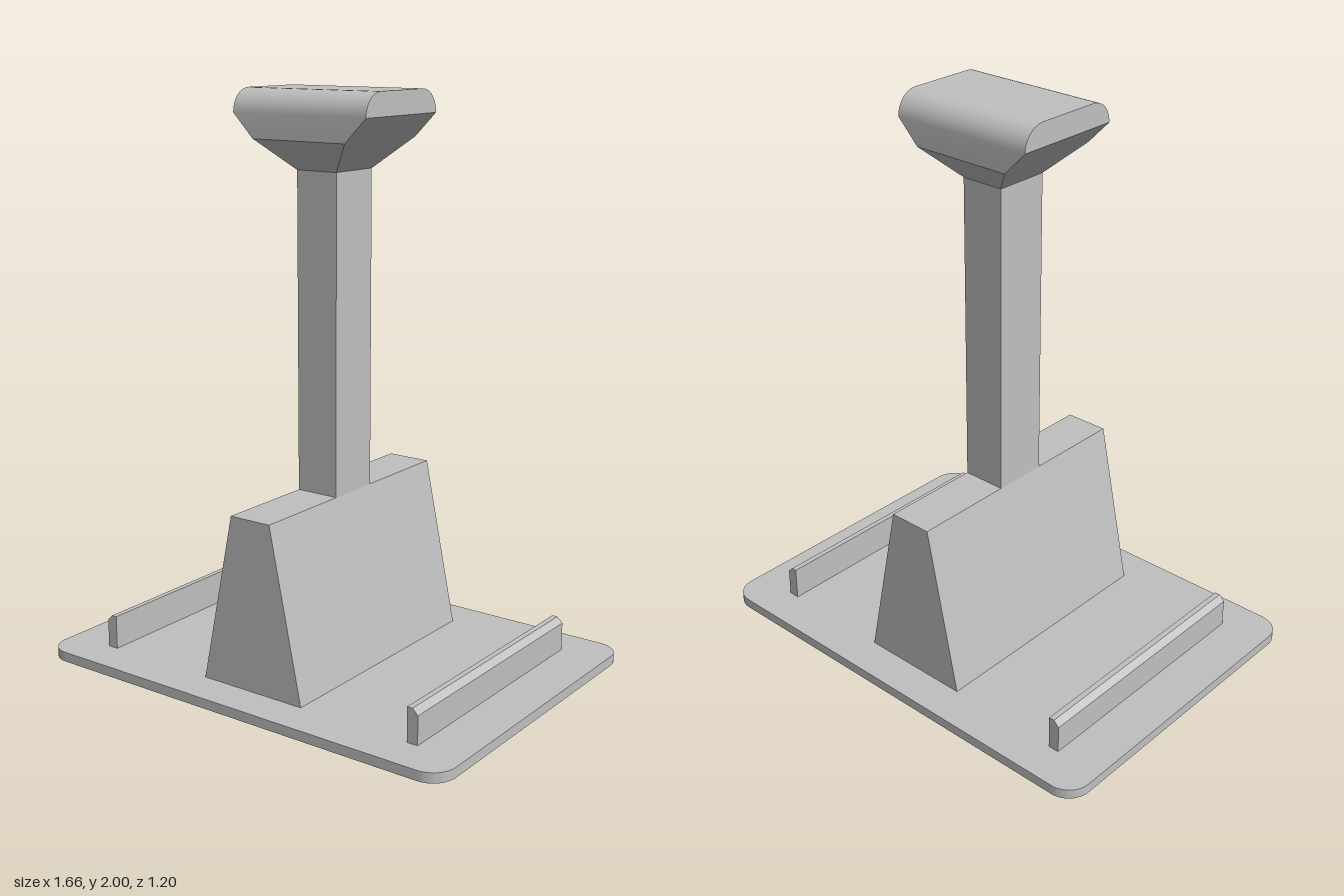
import * as THREE from 'three';
import { toCreasedNormals } from 'three/addons/utils/BufferGeometryUtils.js';

const BASE_TOP = 0.035, WEDGE_TOP = 0.635, HEAD_BOTTOM = 1.735, HEAD_SIDE = 1.92;

// Extrude an x-y outline along z, centred on z = 0
function extrudeZ(points, depth) {
  const shape = new THREE.Shape(points.map(([x, y]) => new THREE.Vector2(x, y)));
  return new THREE.ExtrudeGeometry(shape, { depth, bevelEnabled: false }).translate(0, 0, -depth / 2);
}

// Rounded rectangular plate lying on y = 0
function plateGeometry(hx, hz, r, height) {
  const s = new THREE.Shape();
  s.absarc(hx - r, hz - r, r, 0, Math.PI / 2);
  s.absarc(-hx + r, hz - r, r, Math.PI / 2, Math.PI);
  s.absarc(-hx + r, -hz + r, r, Math.PI, Math.PI * 1.5);
  s.absarc(hx - r, -hz + r, r, Math.PI * 1.5, Math.PI * 2);
  const g = new THREE.ExtrudeGeometry(s, { depth: height, bevelEnabled: false, curveSegments: 10 });
  return toCreasedNormals(g.rotateX(-Math.PI / 2), 0.5);
}

// Closed stack of rectangles [y, half width, half depth], bottom to top
function stackGeometry(levels) {
  const pos = [], idx = [];
  for (const [y, w, d] of levels) pos.push(-w, y, d, w, y, d, w, y, -d, -w, y, -d);
  for (let i = 0; i < levels.length - 1; i++) {
    for (let k = 0; k < 4; k++) {
      const a = i * 4 + k, b = i * 4 + (k + 1) % 4;
      idx.push(a, b, b + 4, a, b + 4, a + 4);
    }
  }
  const t = (levels.length - 1) * 4;
  idx.push(0, 2, 1, 0, 3, 2, t, t + 1, t + 2, t, t + 2, t + 3);
  const g = new THREE.BufferGeometry();
  g.setAttribute('position', new THREE.Float32BufferAttribute(pos, 3));
  g.setIndex(idx);
  return toCreasedNormals(g, 0.4);
}

export function createModel() {
  const model = new THREE.Group();
  model.name = 'headsetStand';
  const grey = new THREE.MeshStandardMaterial({ color: 0xc0c0c0 });
  grey.name = 'plainGrey';
  const add = (name, geometry) => {
    const mesh = new THREE.Mesh(geometry, grey);
    mesh.name = name;
    model.add(mesh);
    return mesh;
  };

  add('basePlate', plateGeometry(0.83, 0.6, 0.085, BASE_TOP));

  // Tapered foot and upright post
  add('taperedFoot', extrudeZ([[-0.205, BASE_TOP], [0.205, BASE_TOP], [0.08, WEDGE_TOP], [-0.08, WEDGE_TOP]], 0.93));
  const postHeight = HEAD_BOTTOM - WEDGE_TOP;
  add('post', new THREE.BoxGeometry(0.16, postHeight, 0.2)).position.y = WEDGE_TOP + postHeight / 2;

  // Head: flared underside, short upright sides, rounded front and back top edges
  const r = 0.08, steps = 10;
  const levels = [[HEAD_BOTTOM, 0.08, 0.1], [1.838, 0.186, 0.2], [HEAD_SIDE, 0.267, 0.2]];
  for (let i = 1; i <= steps; i++) {
    const a = (i / steps) * Math.PI / 2;
    levels.push([HEAD_SIDE + r * Math.sin(a), 0.267, 0.2 - r + r * Math.cos(a)]);
  }
  add('head', stackGeometry(levels));

  // Side rails, chamfered on the outer top edge
  const rail = extrudeZ([[0.62, BASE_TOP], [0.66, BASE_TOP], [0.66, 0.135], [0.64, 0.155], [0.62, 0.155]], 0.93);
  add('leftRail', rail);
  add('rightRail', rail).rotation.y = Math.PI;

  return model;
}
